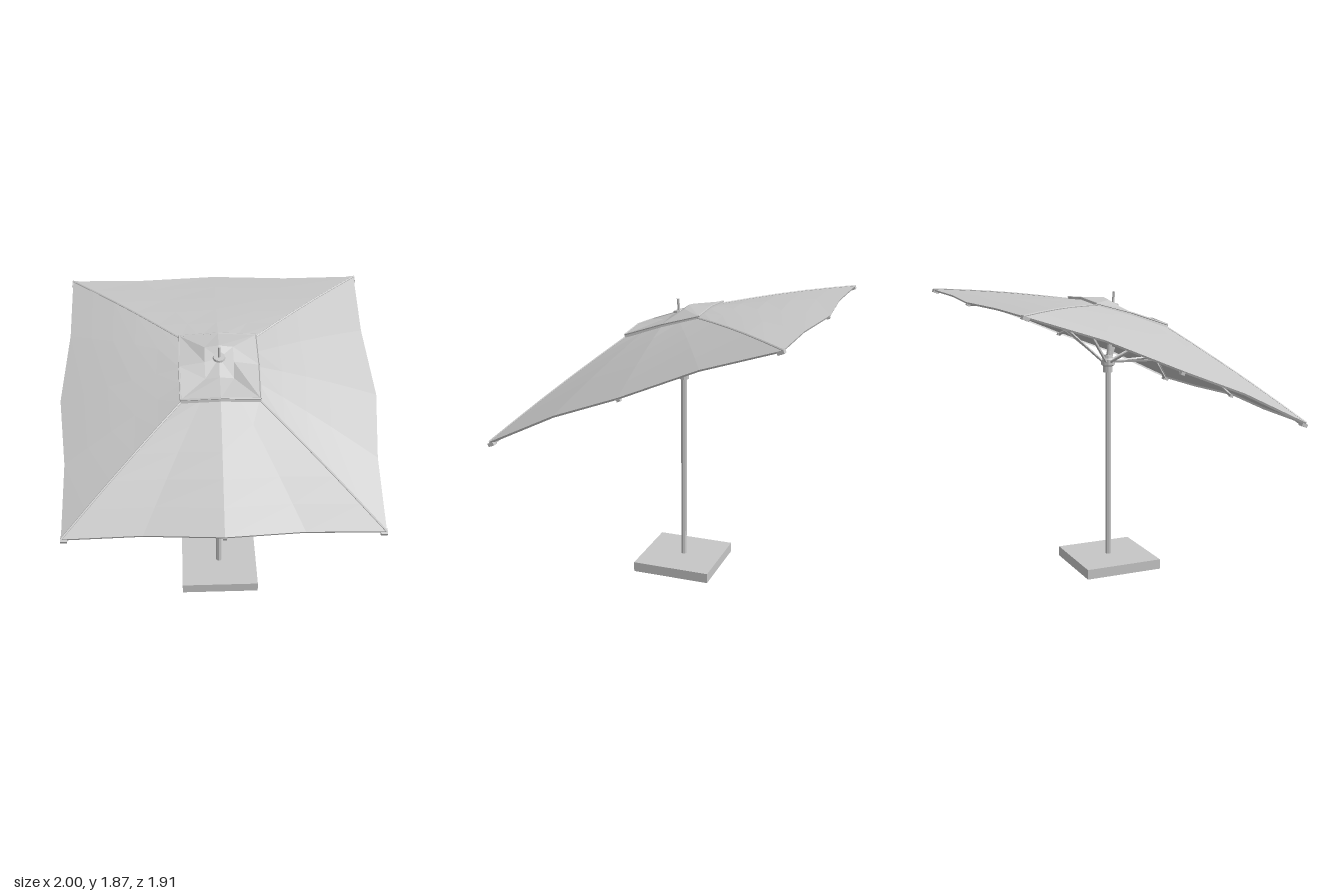
import * as THREE from 'three';

const V = (x, y, z) => new THREE.Vector3(x, y, z);

export function createModel() {
  const model = new THREE.Group();
  const grey = new THREE.MeshStandardMaterial({ color: 0xc6c6c6, flatShading: true });
  grey.name = 'light grey';
  const fabric = new THREE.MeshStandardMaterial({ color: 0xc6c6c6, flatShading: true, side: THREE.DoubleSide });
  fabric.name = 'light grey fabric';

  const add = (name, geometry, material = grey, at = V(0, 0, 0)) => {
    const mesh = new THREE.Mesh(geometry, material);
    mesh.name = name;
    mesh.position.copy(at);
    model.add(mesh);
    return mesh;
  };
  // straight bar between two points
  const bar = (name, a, b, r, sides = 6) => {
    const dir = b.clone().sub(a);
    const mesh = add(name, new THREE.CylinderGeometry(r, r, dir.length(), sides), grey, a.clone().lerp(b, 0.5));
    mesh.quaternion.setFromUnitVectors(V(0, 1, 0), dir.normalize());
    return mesh;
  };
  // surface through closed rings of equal point count
  const loft = (name, rings) => {
    const n = rings[0].length, index = [];
    for (let r = 0; r + 1 < rings.length; r++) {
      for (let i = 0; i < n; i++) {
        const a = r * n + i, b = r * n + (i + 1) % n;
        index.push(a, a + n, b, b, a + n, b + n);
      }
    }
    const geometry = new THREE.BufferGeometry().setFromPoints(rings.flat());
    geometry.setIndex(index);
    geometry.computeVertexNormals();
    return add(name, geometry, fabric);
  };

  // canopy rim and vent rim, running round from the front left corner
  const rim = [V(0.96, 1.105, 0.91), V(1, 1.49, 0.03), V(0.96, 1.84, -0.915), V(0, 1.835, -0.955),
    V(-0.96, 1.84, -0.915), V(-1, 1.49, 0.03), V(-0.96, 1.105, 0.91), V(0, 1.125, 0.95)];
  const vent = [V(0.235, 1.65, 0.3), V(0.24, 1.735, 0.06), V(0.235, 1.805, -0.18), V(0, 1.82, -0.18),
    V(-0.235, 1.805, -0.18), V(-0.24, 1.735, 0.06), V(-0.235, 1.65, 0.3), V(0, 1.665, 0.31)];
  const apex = V(0, 1.785, 0.03);

  // add a point between neighbours; the rim sags inwards and up between ribs
  const split = (ring, inset, lift) => ring.flatMap((p, i) => {
    const mid = p.clone().lerp(ring[(i + 1) % ring.length], 0.5);
    const side = i % 4 < 2 ? (i === 0 || i === 1) : (i === 4 || i === 5);
    const onSide = side || i === 4 || i === 5;
    if (onSide) { mid.x *= 1 - inset; mid.y += lift; } else mid.z *= 1 - inset;
    return [p.clone(), mid];
  });
  const outer = split(rim, 0.025, 0.022), inner = split(vent, 0, 0);
  const rings = [];
  for (let k = 0; k <= 5; k++) {
    const t = k / 5;
    rings.push(inner.map((p, i) => {
      const q = p.clone().lerp(outer[i], t);
      q.y += 0.012 * Math.sin(Math.PI * t);
      return q;
    }));
  }
  // short hem hanging from the rim
  rings.push(outer.map(p => V(p.x * 0.995, p.y - 0.012, p.z * 0.995)));
  loft('canopy', rings);

  // raised vent cap with a short skirt
  const scaled = (s, dy) => vent.map(p => V(p.x * s, p.y + dy, 0.06 + (p.z - 0.06) * s));
  const capEdge = scaled(1.03, 0.014);
  loft('ventCap', [vent.map(() => apex.clone()), scaled(0.5, 0.03).map(p => p.lerp(apex, 0.25)),
    capEdge, scaled(1.05, -0.008)]);
  for (let i = 0; i < 8; i++) bar('ventSeam', capEdge[i], capEdge[(i + 1) % 8], 0.006, 5);

  // tilting hub, ribs, struts, ridge seams and rib pockets
  const hub = V(0, 1.41, -0.005), crown = V(0, 1.7, 0.03);
  rim.forEach((tip, i) => {
    const corner = i % 2 === 0;
    const end = tip.clone().add(V(0, -0.014, 0)).multiply(V(0.985, 1, 0.985));
    const knee = vent[i].clone().add(V(0, -0.022, 0));
    bar('ribInner', crown, knee, 0.011, 4);
    bar('ribOuter', knee, end, 0.011, 4);
    const joint = knee.clone().lerp(end, corner ? 0.3 : 0.4);
    const start = hub.clone().add(V(joint.x, 0, joint.z).normalize().multiplyScalar(0.035));
    bar('strut', start, joint, 0.009, 4);
    if (corner) {
      const path = new THREE.CatmullRomCurve3(rings.slice(0, 6).map(r => r[i * 2]));
      add('ridgeSeam', new THREE.TubeGeometry(path, 5, 0.007, 5));
    }
    const size = corner ? 0.04 : 0.024;
    const pocket = add('ribPocket', new THREE.BoxGeometry(size, 0.022, size), grey, end);
    pocket.rotation.x = 0.37;
  });

  // pole with runner hub, tilt joint and upper section
  bar('pole', V(0, 0.08, -0.003), V(0, 1.45, -0.003), 0.02, 8);
  bar('upperPole', V(0, 1.43, 0), apex, 0.017, 8);
  const hubProfile = [[0.02, -0.07], [0.032, -0.07], [0.032, -0.03], [0.046, -0.02], [0.046, 0.015],
    [0.034, 0.025], [0.03, 0.045], [0.018, 0.045]].map(p => new THREE.Vector2(...p));
  add('runnerHub', new THREE.LatheGeometry(hubProfile, 10), grey, hub);
  const tilt = add('tiltJoint', new THREE.BoxGeometry(0.03, 0.08, 0.035), grey, V(0, 1.47, 0.012));
  tilt.rotation.x = 0.3;
  add('crownHub', new THREE.CylinderGeometry(0.04, 0.04, 0.04, 10), grey, crown).rotation.x = 0.37;

  // finial
  add('finialDisc', new THREE.CylinderGeometry(0.036, 0.04, 0.012, 12), grey, V(0, 1.79, 0.03)).rotation.x = 0.3;
  bar('finial', V(0, 1.78, 0.03), V(0, 1.867, 0.038), 0.009, 6);

  // weighted base slab with a shallow foot
  add('base', new THREE.BoxGeometry(0.525, 0.066, 0.525), grey, V(0, 0.053, 0));
  const foot = add('baseFoot', new THREE.CylinderGeometry(0.34, 0.1, 0.02, 4), grey, V(0, 0.01, 0));
  foot.rotation.y = Math.PI / 4;

  return model;
}
